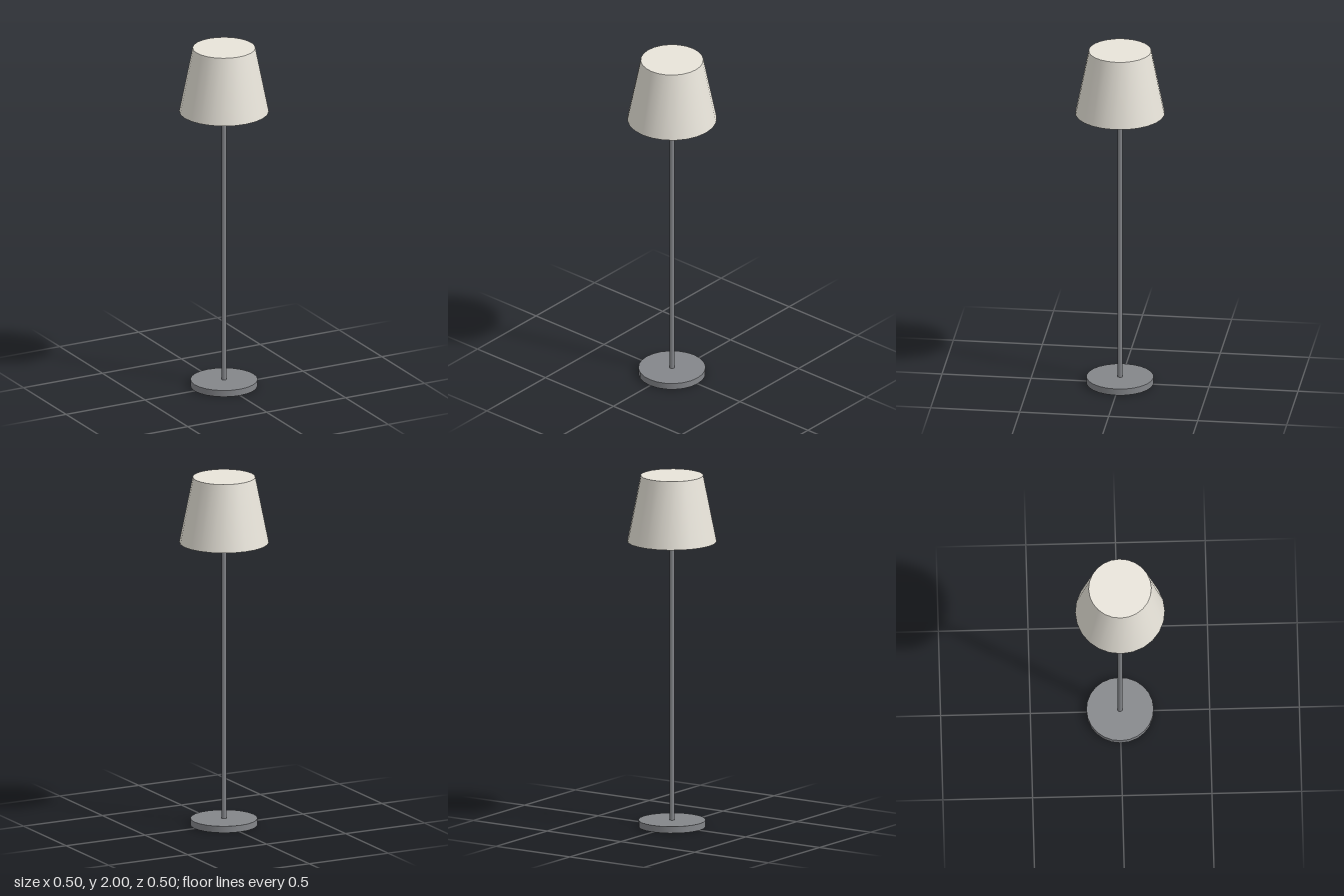
import * as THREE from 'three';

const metal = new THREE.MeshStandardMaterial({ color: 0x84868a });
const fabric = new THREE.MeshStandardMaterial({ color: 0xe8e4da });

// Upright round part standing from y0 to y1
function roundPart(name, topRadius, bottomRadius, y0, y1, sides, material) {
  const geometry = new THREE.CylinderGeometry(topRadius, bottomRadius, y1 - y0, sides);
  const mesh = new THREE.Mesh(geometry, material);
  mesh.name = name;
  mesh.position.y = (y0 + y1) / 2;
  return mesh;
}

export function createModel() {
  const lamp = new THREE.Group();
  lamp.name = 'floorLamp';
  lamp.add(
    // Flat weighted foot
    roundPart('base', 0.1875, 0.1875, 0, 0.0375, 24, metal),
    // Slim pole up to the shade
    roundPart('pole', 0.015, 0.015, 0.0375, 1.64, 12, metal),
    // Closed tapered shade
    roundPart('shade', 0.175, 0.25, 1.625, 2, 24, fabric)
  );
  return lamp;
}
